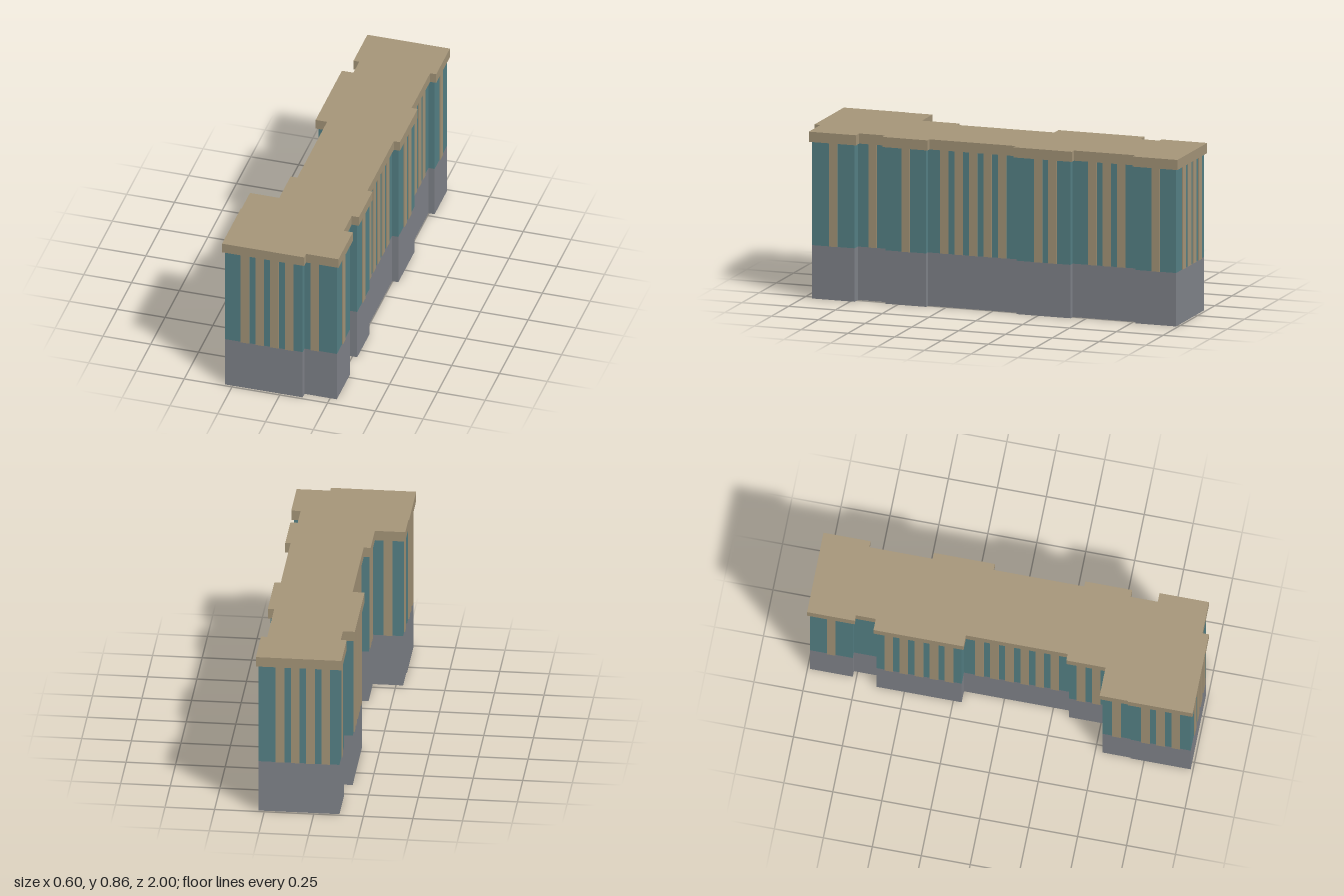
import * as THREE from 'three';

const BASE_TOP = 0.274, WALL_TOP = 0.805, ROOF_TOP = 0.857;
const INSET = 0.012, FIN_WIDTH = 0.044, FIN_SPACING = 0.077;

// Roof outline: x, z, then fin count and fin shift for the side starting at that corner
const OUTLINE = [
  [-0.302, 1, 4, 0.018], [0.128, 1], [0.128, 0.967, 1, -0.03], [0.297, 0.967, 1],
  [0.297, 0.715], [0.25, 0.715, 1], [0.25, 0.577], [0.287, 0.577, 1],
  [0.287, 0.337], [0.26, 0.337, 5], [0.26, -0.125], [0.292, -0.125, 2, 0.01],
  [0.292, -0.436], [0.26, -0.436, 3, 0.01], [0.26, -0.76], [0.292, -0.76, 1],
  [0.292, -1, 4, 0.02], [-0.14, -1, 1], [-0.14, -0.757], [-0.11, -0.757],
  [-0.11, -0.655], [-0.17, -0.655, 5], [-0.17, -0.195], [-0.11, -0.195, 6],
  [-0.11, 0.325], [-0.145, 0.325, 2], [-0.145, 0.525, 1], [-0.298, 0.525, 1],
  [-0.298, 0.67], [-0.302, 0.67, 3],
];

function outwardNormal(i) {
  const n = OUTLINE.length;
  const [ax, az] = OUTLINE[(i + n) % n], [bx, bz] = OUTLINE[(i + 1) % n];
  return new THREE.Vector2(-(bz - az), bx - ax).normalize();
}

// Moves every side of the outline inwards by a distance
function insetOutline(d) {
  return OUTLINE.map(([x, z], i) => new THREE.Vector2(x, z)
    .addScaledVector(outwardNormal(i), -d)
    .addScaledVector(outwardNormal(i - 1), -d));
}

function slab(name, points, y0, y1, material) {
  const shape = new THREE.Shape(points.map(p => new THREE.Vector2(p.x, -p.y)));
  const geo = new THREE.ExtrudeGeometry(shape, { depth: y1 - y0, bevelEnabled: false });
  geo.rotateX(-Math.PI / 2);
  const mesh = new THREE.Mesh(geo, material);
  mesh.name = name;
  mesh.position.y = y0;
  return mesh;
}

export function createModel() {
  const stone = new THREE.MeshStandardMaterial({ color: 0xa8987b });
  stone.name = 'sandstone';
  const glass = new THREE.MeshStandardMaterial({ color: 0x578489 });
  glass.name = 'teal glazing';
  const concrete = new THREE.MeshStandardMaterial({ color: 0x83868d });
  concrete.name = 'grey concrete';

  const model = new THREE.Group();
  model.name = 'building';
  const walls = insetOutline(INSET);

  // Stacked storeys and overhanging roof
  model.add(slab('base', walls, 0, BASE_TOP, concrete));
  model.add(slab('glazedWalls', walls, BASE_TOP, WALL_TOP, glass));
  model.add(slab('roof', insetOutline(0), WALL_TOP, ROOF_TOP, stone));

  // Vertical fins spaced along each side
  const fins = new THREE.Group();
  fins.name = 'fins';
  const height = WALL_TOP - BASE_TOP;
  const finGeo = new THREE.BoxGeometry(FIN_WIDTH, height, 0.01);
  OUTLINE.forEach(([, , count = 0, shift = 0], i) => {
    const a = walls[i], b = walls[(i + 1) % walls.length];
    const dir = b.clone().sub(a).normalize();
    const mid = a.clone().add(b).multiplyScalar(0.5);
    for (let k = 0; k < count; k++) {
      const p = mid.clone().addScaledVector(dir, shift + (k - (count - 1) / 2) * FIN_SPACING);
      const fin = new THREE.Mesh(finGeo, stone);
      fin.name = 'fin';
      fin.position.set(p.x, BASE_TOP + height / 2, p.y);
      fin.rotation.y = Math.atan2(-dir.y, dir.x);
      fins.add(fin);
    }
  });
  model.add(fins);
  return model;
}
